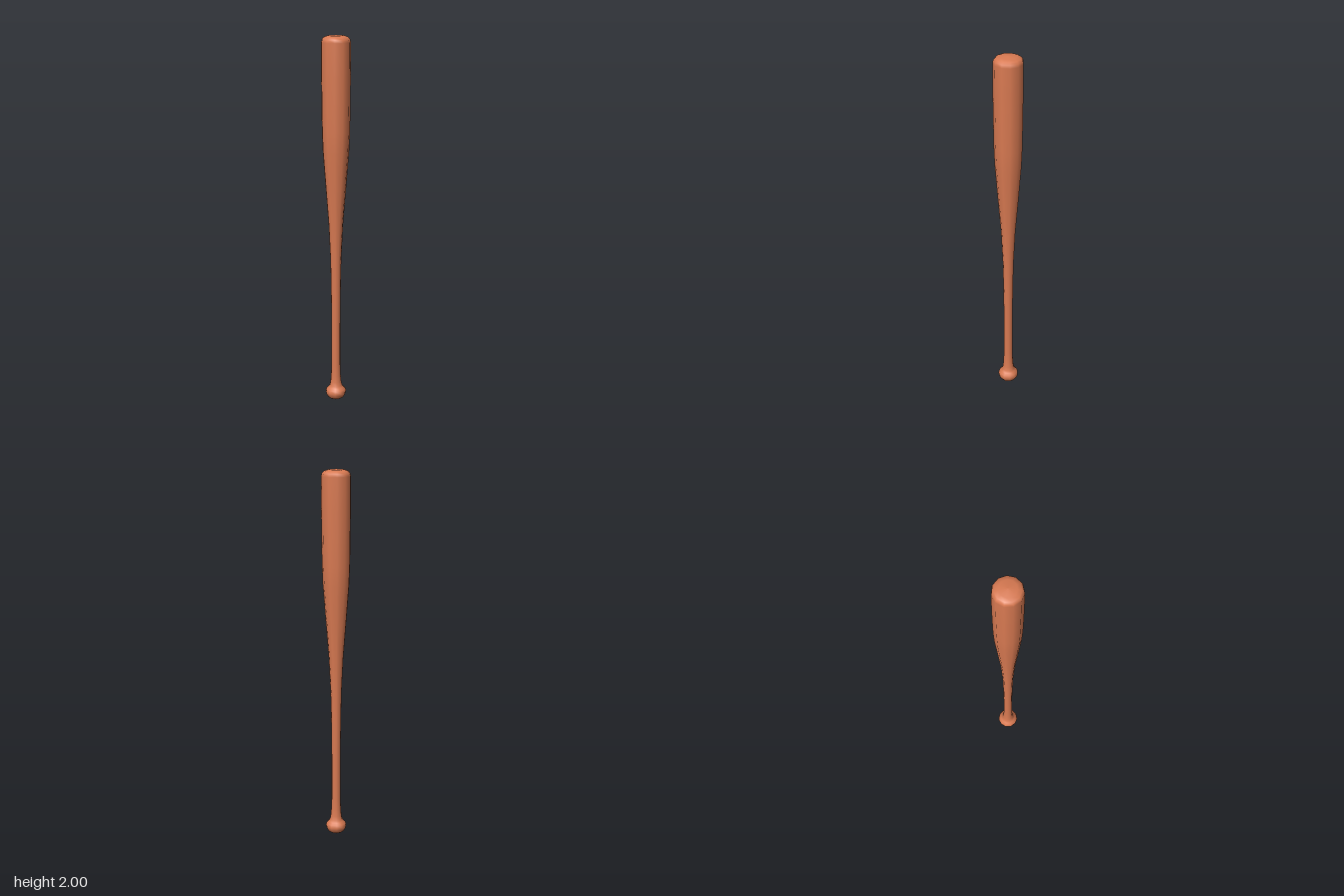
import * as THREE from 'three';

const SIDES = 11;

export function createModel() {
  const group = new THREE.Group();
  group.name = 'bat';
  const wood = new THREE.MeshStandardMaterial({ color: 0xd97a52 });

  // Turns a [radius, height] profile, listed from bottom to top, around y
  const turned = (name, profile) => {
    const points = profile.map(([r, y]) => new THREE.Vector2(r, y));
    const mesh = new THREE.Mesh(new THREE.LatheGeometry(points, SIDES, Math.PI / 2), wood);
    mesh.name = name;
    mesh.position.x = -0.0016; // an odd side count sits slightly off centre
    group.add(mesh);
  };

  // One continuous profile: knob, flared neck, handle, taper, barrel, rounded end
  turned('batBody', [
    [0, 0], [0.022, 0.003], [0.041, 0.013], [0.053, 0.029], [0.057, 0.045],
    [0.053, 0.06], [0.042, 0.071], [0.034, 0.082], [0.03, 0.105], [0.027, 0.14],
    [0.025, 0.2], [0.0245, 0.4], [0.026, 0.6], [0.0295, 0.8], [0.039, 1.0],
    [0.055, 1.2], [0.0705, 1.4], [0.0745, 1.5], [0.0765, 1.65], [0.0777, 1.8],
    [0.0777, 1.962], [0.0745, 1.977], [0.065, 1.988], [0.045, 1.996], [0, 2],
  ]);

  return group;
}
